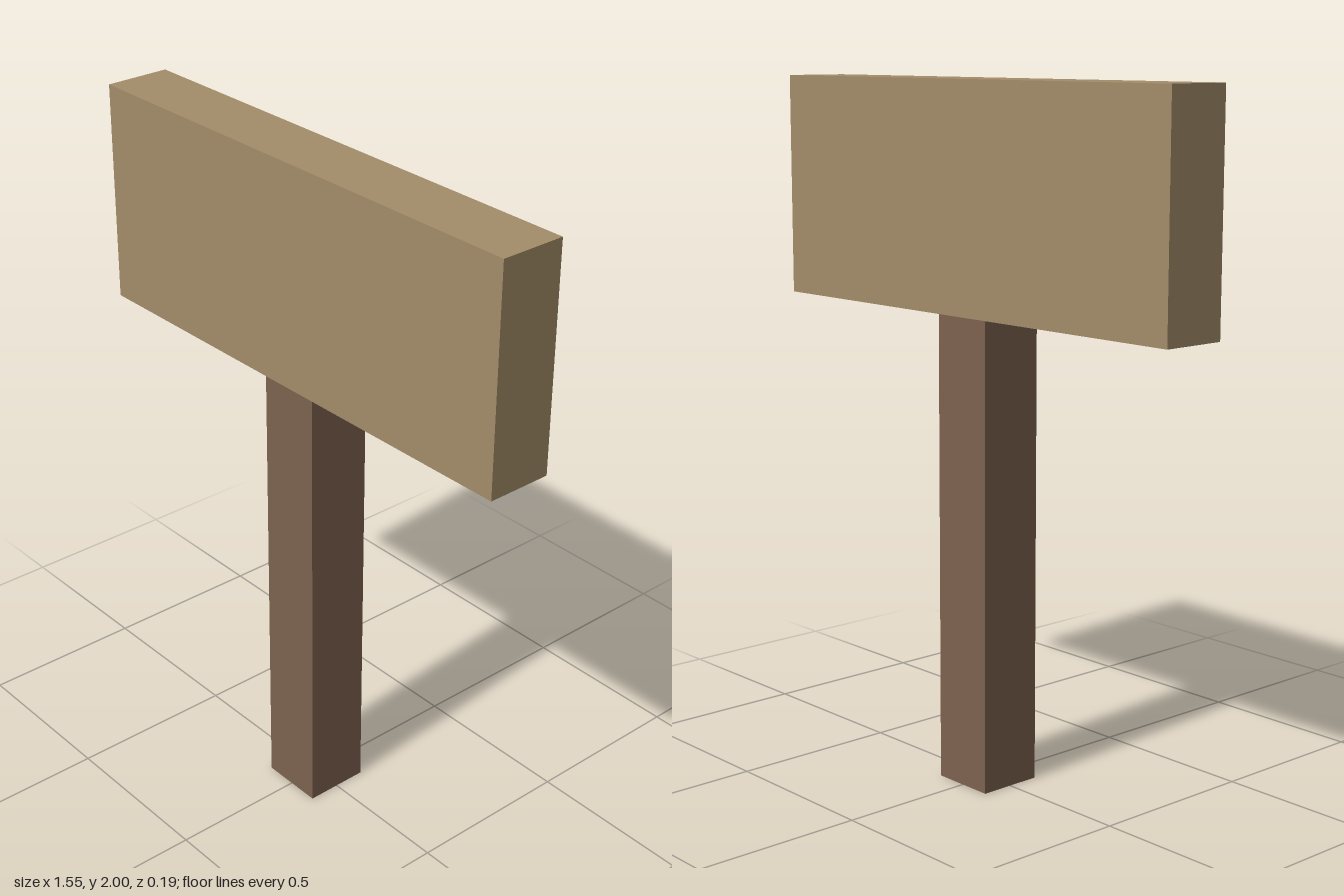
import * as THREE from 'three';

const boardWood = new THREE.MeshStandardMaterial({ name: 'lightWood', color: 0xa48d69 });
const postWood = new THREE.MeshStandardMaterial({ name: 'darkWood', color: 0x7d624e });

// Box standing from height y0 to y1, centred on the post axis
function block(name, width, y0, y1, depth, material) {
  const mesh = new THREE.Mesh(new THREE.BoxGeometry(width, y1 - y0, depth), material);
  mesh.name = name;
  mesh.position.y = (y0 + y1) / 2;
  return mesh;
}

export function createModel() {
  const sign = new THREE.Group();
  sign.name = 'signpost';
  // The post runs up inside the board, a hair thinner so their faces do not coincide
  sign.add(block('post', 0.194, 0, 1.806, 0.192, postWood));
  sign.add(block('board', 1.548, 1.355, 2, 0.194, boardWood));
  return sign;
}
